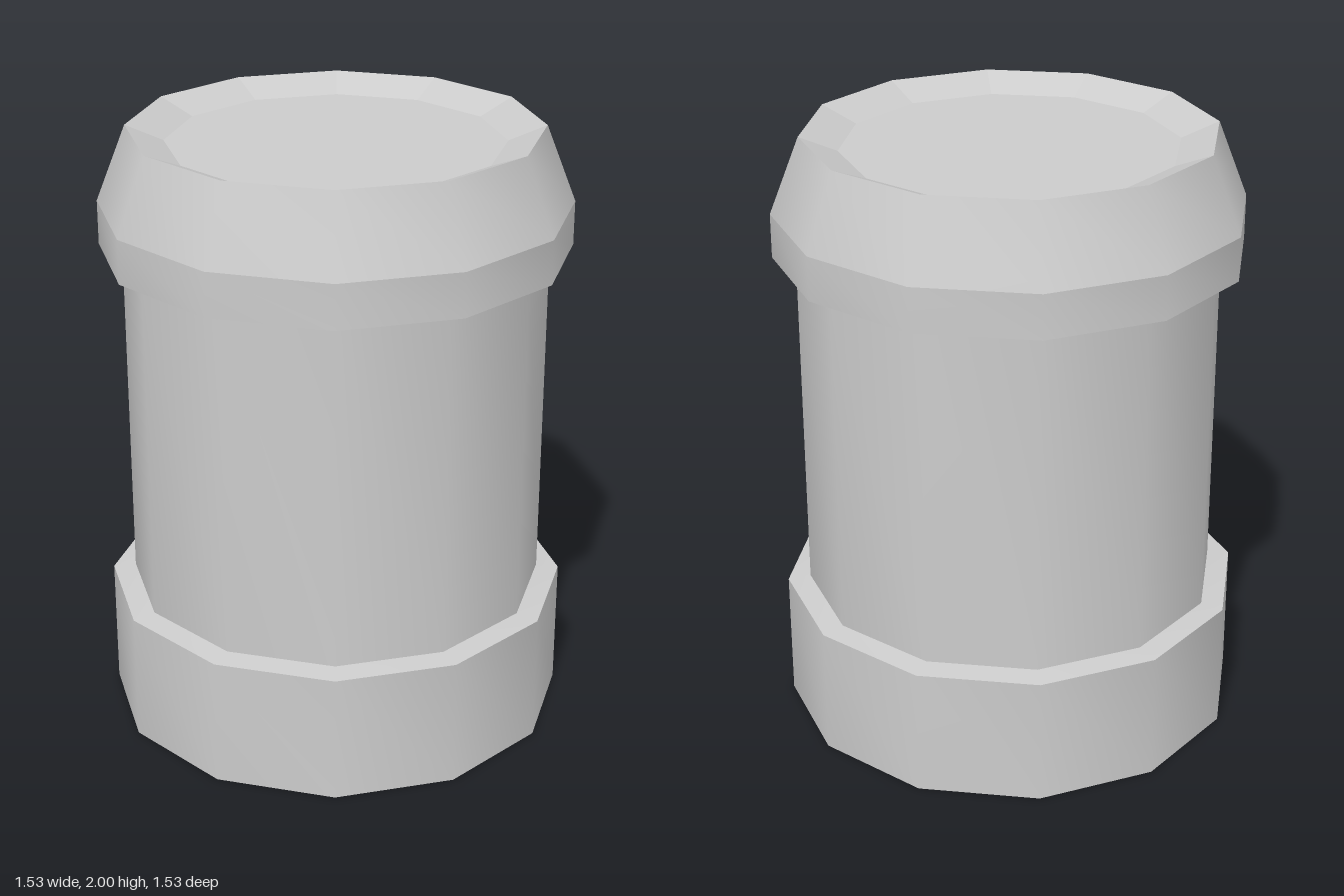
import * as THREE from 'three';
import { toCreasedNormals } from 'three/addons/utils/BufferGeometryUtils.js';

const SIDES = 12;

export function createModel() {
  const model = new THREE.Group();
  const smooth = new THREE.MeshStandardMaterial({ color: 0xcccccc });
  const faceted = new THREE.MeshStandardMaterial({ color: 0xcccccc, flatShading: true });

  // Twelve-sided turned part from [radius, height] pairs, listed from bottom to top on the outside
  function turned(name, profile, material = smooth) {
    const points = profile.map(([r, y]) => new THREE.Vector2(r, y));
    const geometry = toCreasedNormals(new THREE.LatheGeometry(points, SIDES), 0.6);
    const mesh = new THREE.Mesh(geometry, material);
    mesh.name = name;
    model.add(mesh);
  }

  // Flat twelve-sided disc facing up or down
  function disc(name, radius, y, up) {
    const geometry = new THREE.CircleGeometry(radius, SIDES);
    geometry.rotateX(up ? -Math.PI / 2 : Math.PI / 2);
    geometry.translate(0, y, 0);
    const mesh = new THREE.Mesh(geometry, faceted);
    mesh.name = name;
    model.add(mesh);
  }

  // Foot with its ledge
  disc('bottom', 0.765, 0, false);
  turned('base', [[0.765, 0], [0.765, 0.43], [0.69, 0.44]]);

  // Straight shaft
  turned('body', [[0.69, 0.44], [0.69, 1.605]]);

  // Cap: underside, upright band, sloped shoulder
  turned('capUnderside', [[0.69, 1.605], [0.765, 1.605]]);
  turned('capBand', [[0.765, 1.605], [0.765, 1.75]]);
  turned('capShoulder', [[0.765, 1.75], [0.667, 2]]);

  // Shallow dished top
  turned('recessSlope', [[0.667, 2], [0.545, 1.95]], faceted);
  disc('recessFloor', 0.545, 1.95, true);

  return model;
}
